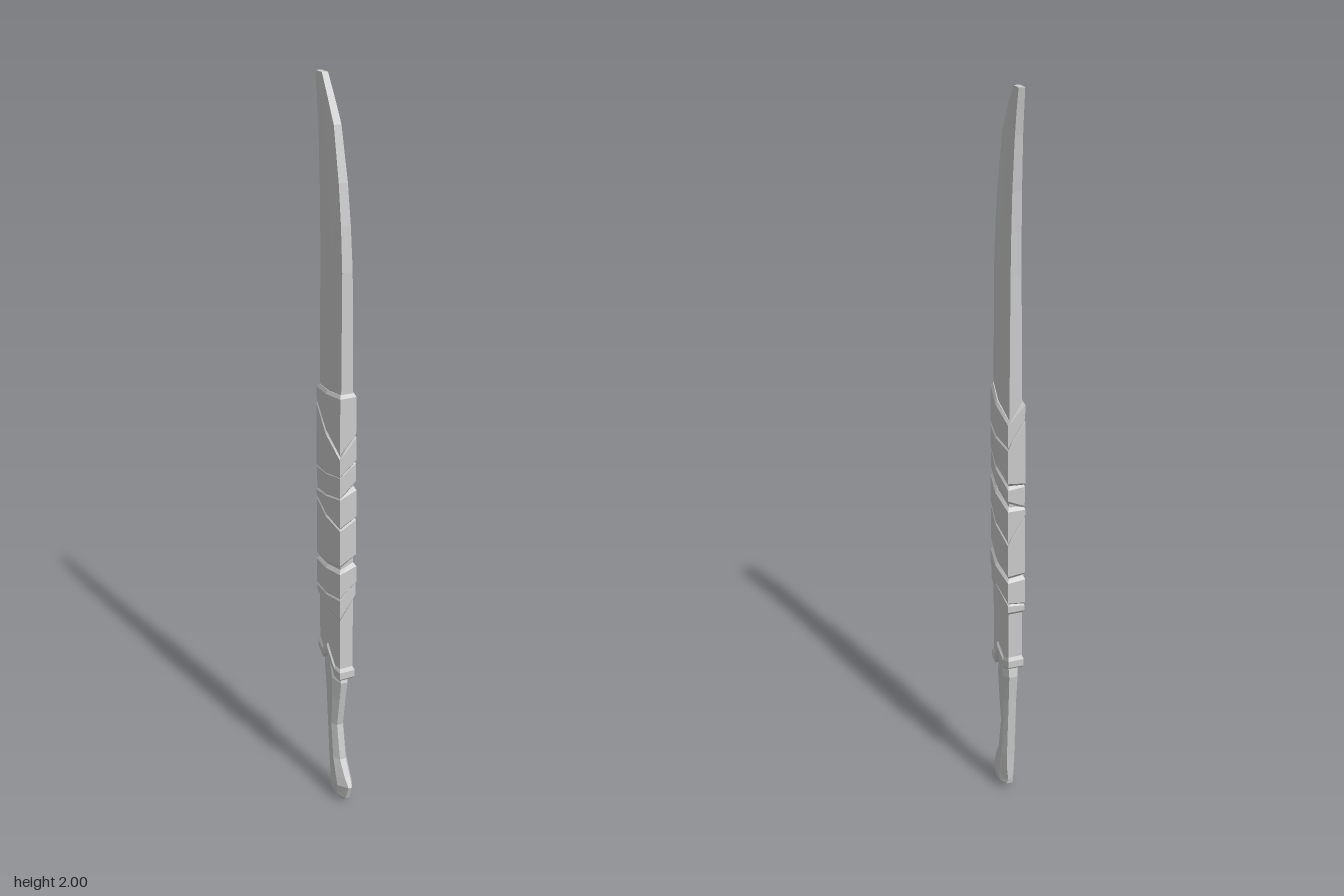
import * as THREE from 'three';

const material = new THREE.MeshStandardMaterial({ color: 0xcccccc, flatShading: true, side: THREE.DoubleSide });

// Skin a stack of rings (each a loop of [x, y, z], bottom to top) and cap both ends.
function loft(name, rings) {
  const pos = [];
  const tri = (a, b, c) => pos.push(...a, ...b, ...c);
  const n = rings[0].length;
  for (let i = 0; i < rings.length - 1; i++) {
    for (let j = 0; j < n; j++) {
      const k = (j + 1) % n;
      tri(rings[i][j], rings[i][k], rings[i + 1][k]);
      tri(rings[i][j], rings[i + 1][k], rings[i + 1][j]);
    }
  }
  const centre = (ring) => [0, 1, 2].map((a) => ring.reduce((s, p) => s + p[a], 0) / n);
  const low = rings[0], high = rings[rings.length - 1];
  for (let j = 0; j < n; j++) {
    const k = (j + 1) % n;
    tri(centre(low), low[k], low[j]);
    tri(centre(high), high[j], high[k]);
  }
  const geometry = new THREE.BufferGeometry();
  geometry.setAttribute('position', new THREE.Float32BufferAttribute(pos, 3));
  geometry.computeVertexNormals();
  const mesh = new THREE.Mesh(geometry, material);
  mesh.name = name;
  return mesh;
}

// Flat-edged hexagonal section with extra points on each side; yAt(t, side) sets
// the height, t running from 0 at the front edge to 1 at the back edge.
const STEPS = [0, 0.2, 0.47, 0.76, 1];
function section(front, back, edge, mid, yAt) {
  const point = (side) => (t) => {
    const bulge = t < 0.47 ? t / 0.47 : (1 - t) / 0.53;
    return [side * (edge + (mid - edge) * bulge), yAt(t, side), front + (back - front) * t];
  };
  return [...STEPS.map(point(1)), ...STEPS.slice().reverse().map(point(-1))];
}

// Sheath-sized section grown outwards by g (0 to 1)
const sheathSection = (g, yAt) =>
  section(0.064 + 0.009 * g, -0.057 - 0.009 * g, 0.019 + 0.005 * g, 0.027 + 0.006 * g, yAt);

// Mouth of the sheath: arched up around the top of the grip
const MOUTH = new Map([[0, 0.41], [0.2, 0.412], [0.47, 0.468], [0.76, 0.437], [1, 0.45]]);
const mouth = (lift) => (t) => MOUTH.get(t) + lift;

function buildSheath() {
  const rings = [sheathSection(0, mouth(0.005)), sheathSection(0, mouth(0.04))];
  // [y, front z, back z, edge half width, middle half width]
  const stations = [
    [0.6, 0.064, -0.057, 0.019, 0.027],
    [1.2, 0.064, -0.057, 0.017, 0.024],
    [1.55, 0.063, -0.056, 0.014, 0.019],
    [1.66, 0.054, -0.058, 0.013, 0.017],
    [1.76, 0.04, -0.062, 0.012, 0.015],
    [1.89, 0.01, -0.073, 0.01, 0.012],
    [1.95, -0.025, -0.082, 0.009, 0.01],
    [2.0, -0.056, -0.091, 0.008, 0.008],
  ];
  for (const [y, f, b, e, m] of stations) rings.push(section(f, b, e, m, () => y));
  return loft('sheath', rings);
}

function buildCollar() {
  return loft('sheathCollar', [
    sheathSection(0.2, mouth(0)),
    sheathSection(0.65, mouth(0.006)),
    sheathSection(0.65, mouth(0.026)),
    sheathSection(0, mouth(0.036)),
  ]);
}

// One binding strip; corner heights: [right front, right back, left back, left front]
function buildWrap(name, bottom, top, grow) {
  const height = (c, lift) => (t, side) =>
    (side < 0 ? c[0] + (c[1] - c[0]) * t : c[3] + (c[2] - c[3]) * t) + lift;
  return loft(name, [
    sheathSection(-0.1, height(bottom, 0)),
    sheathSection(grow, height(bottom, 0.01)),
    sheathSection(grow, height(top, -0.01)),
    sheathSection(-0.1, height(top, 0)),
  ]);
}

function buildGrip() {
  // [front y, back y, front z, back z, half width, front edge half width]
  const stations = [
    [0.004, 0.01, 0.05, 0.022, 0.01, 0.004],
    [0.022, 0.032, 0.076, -0.014, 0.02, 0.007],
    [0.066, 0.05, 0.091, -0.017, 0.023, 0.005],
    [0.09, 0.085, 0.074, -0.018, 0.022, 0.008],
    [0.135, 0.135, 0.045, -0.02, 0.02, 0.009],
    [0.24, 0.24, 0.027, -0.028, 0.018, 0.009],
    [0.33, 0.32, 0.042, -0.034, 0.02, 0.009],
    [0.39, 0.41, 0.053, -0.043, 0.022, 0.01],
    [0.445, 0.435, 0.034, -0.038, 0.023, 0.01],
    [0.468, 0.466, 0.018, -0.018, 0.022, 0.009],
  ];
  return loft('grip', stations.map(([yf, yb, f, b, w, e]) => {
    const at = (x, t) => [x, yf + (yb - yf) * t, f + (b - f) * t];
    return [at(e, 0), at(w, 0.32), at(w, 0.7), at(e * 1.2, 1),
      at(-e * 1.2, 1), at(-w, 0.7), at(-w, 0.32), at(-e, 0)];
  }));
}

export function createModel() {
  const group = new THREE.Group();
  group.name = 'sheathedBlade';
  group.add(buildSheath(), buildCollar(), buildGrip());

  // Bindings wound around the lower half of the sheath
  const wraps = [
    [[0.595, 0.62, 0.62, 0.66], [0.67, 0.655, 0.66, 0.72], 0.8],
    [[0.66, 0.645, 0.65, 0.70], [0.75, 0.735, 0.73, 0.765], 1],
    [[0.755, 0.735, 0.73, 0.78], [0.875, 0.915, 0.84, 0.9], 0.85],
    [[0.865, 0.905, 0.83, 0.89], [0.965, 0.94, 0.94, 0.985], 0.9],
    [[0.95, 0.93, 0.95, 0.99], [1.025, 1.005, 1.0, 1.06], 0.7],
    [[1.01, 0.995, 1.0, 1.05], [1.075, 1.185, 1.11, 1.13], 0.85],
    [[1.07, 1.175, 1.1, 1.12], [1.24, 1.23, 1.18, 1.24], 0.7],
  ];
  wraps.forEach(([low, high, grow], i) => group.add(buildWrap(`binding${i + 1}`, low, high, grow)));
  return group;
}
